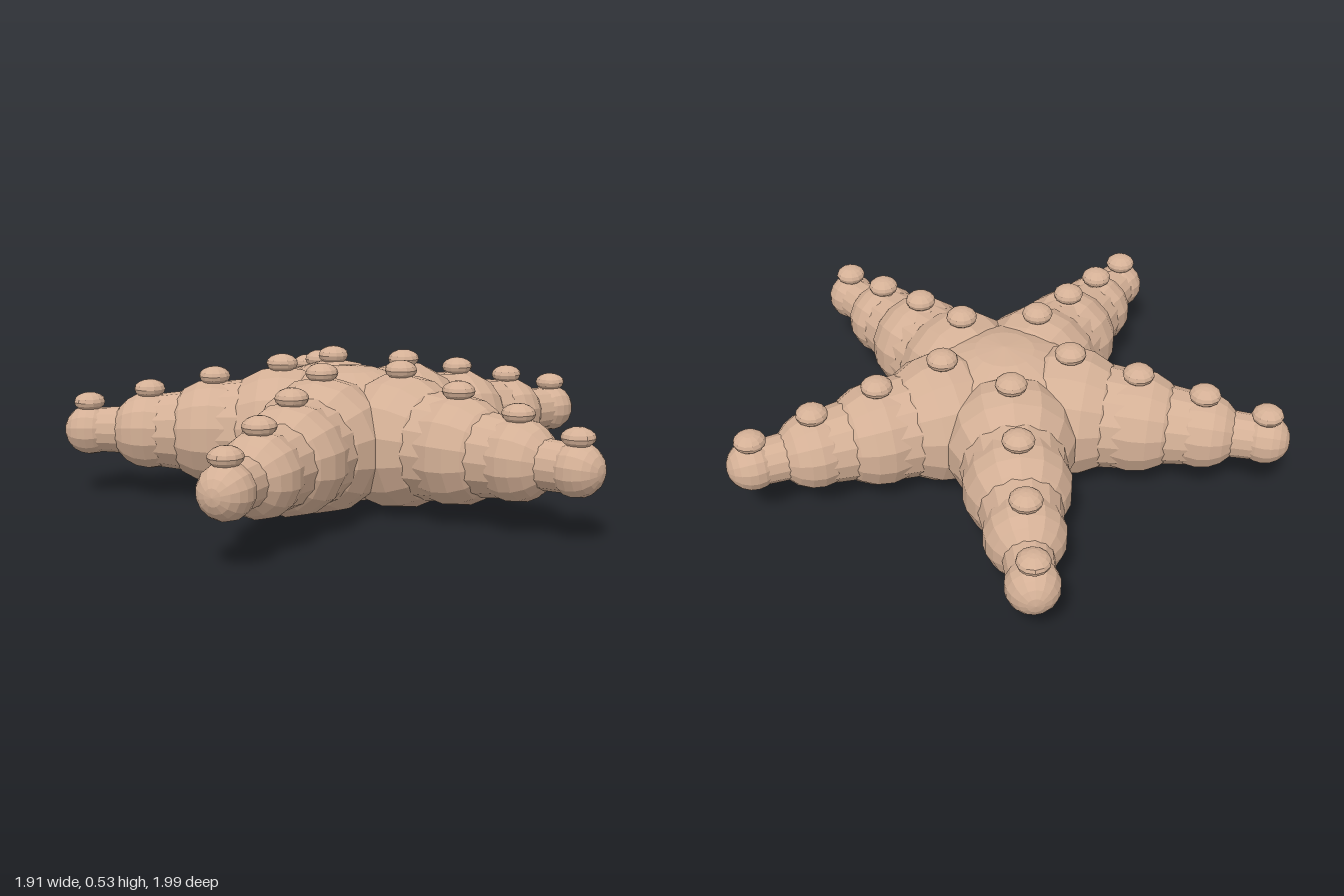
import * as THREE from 'three';

export function createModel() {
  const starfish = new THREE.Group();
  starfish.name = 'starfish';
  const skin = new THREE.MeshStandardMaterial({ color: 0xd4b096, flatShading: true });
  skin.name = 'sandySkin';

  const add = (parent, name, geometry, x, y) => {
    const mesh = new THREE.Mesh(geometry, skin);
    mesh.name = name;
    mesh.position.set(x, y, 0);
    parent.add(mesh);
    return mesh;
  };

  // Flattened central body, slightly off centre so the whole star is centred
  const centre = new THREE.Group();
  centre.name = 'star';
  centre.position.set(-0.1, 0.25, 0);
  starfish.add(centre);
  add(centre, 'body', new THREE.SphereGeometry(0.35, 16, 10).scale(1, 0.7, 1), 0, 0);

  // Swollen joints along an arm: distance from the centre and radius
  const joints = [[0.24, 0.24], [0.487, 0.192], [0.727, 0.142], [0.952, 0.092]];
  // Start and end radii of the links between joints
  const links = [[0.205, 0.18], [0.16, 0.13], [0.09, 0.08]];

  for (let i = 0; i < 5; i++) {
    const arm = new THREE.Group();
    arm.name = `arm${i + 1}`;
    arm.rotation.y = (i * Math.PI * 2) / 5;
    centre.add(arm);

    joints.forEach(([d, r], j) => {
      // Joint with its poles along the arm
      add(arm, 'armJoint', new THREE.SphereGeometry(r, 14, 10).rotateZ(-Math.PI / 2), d, 0);
      // Flattened bump on top
      add(arm, 'bump', new THREE.SphereGeometry(0.057, 12, 8).scale(1, 0.6, 1), d, r + 0.012);
      // Tapered link to the next joint
      if (j < links.length) {
        const length = joints[j + 1][0] - d;
        const link = new THREE.CylinderGeometry(links[j][1], links[j][0], length, 14);
        add(arm, 'armLink', link.rotateZ(-Math.PI / 2), d + length / 2, 0);
      }
    });
  }
  return starfish;
}
